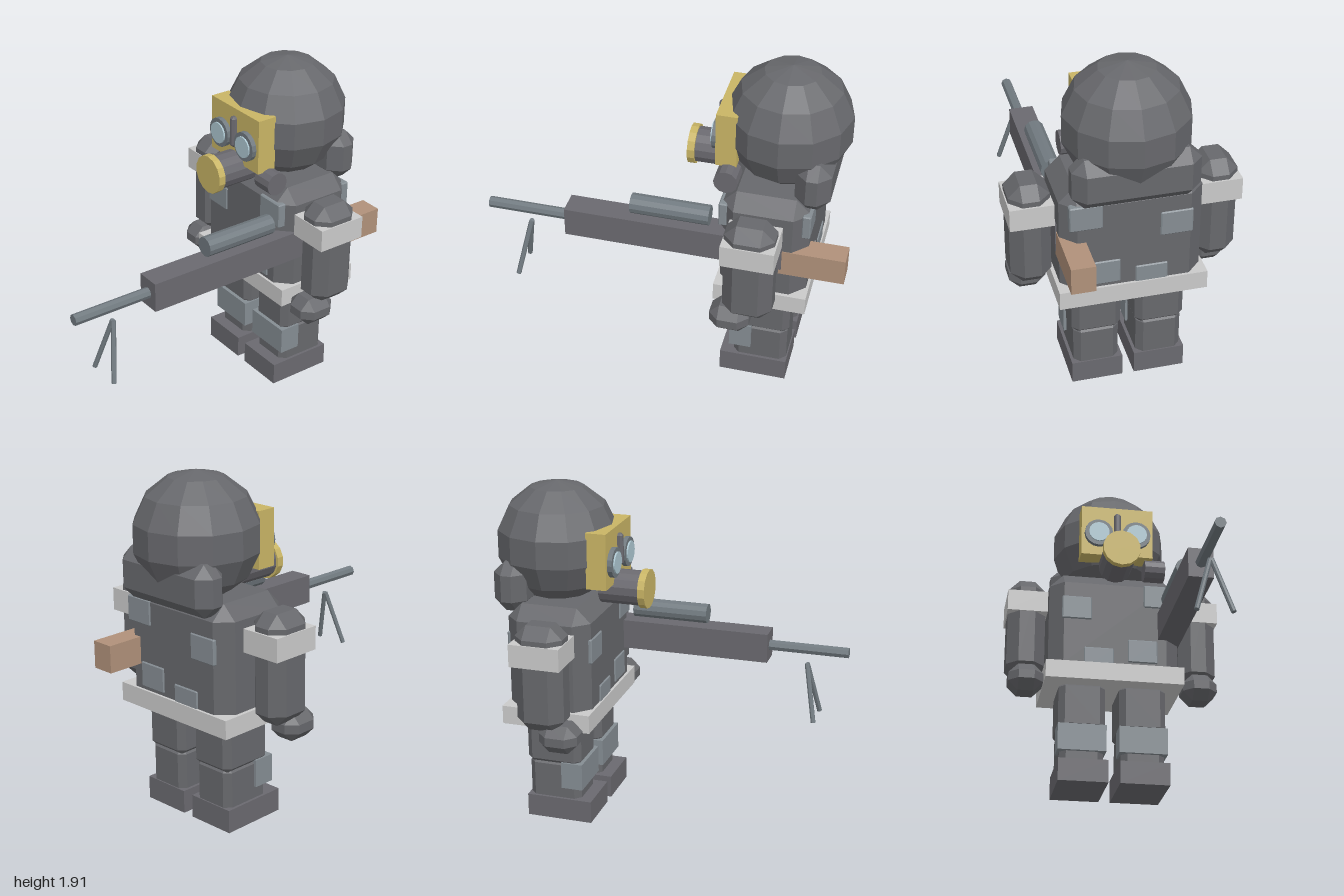
import * as THREE from 'three';
import { ConvexGeometry } from 'three/addons/geometries/ConvexGeometry.js';

const mat = (name, color, flatShading = true) => {
  const m = new THREE.MeshStandardMaterial({ color, flatShading });
  m.name = name;
  return m;
};

export function createModel() {
  const root = new THREE.Group();
  const suit = mat('charcoal suit', 0x67686c);
  const gun = mat('gun grey', 0x6a696f);
  const slate = mat('slate metal', 0x717a80);
  const patch = mat('patch grey', 0x858d93);
  const pale = mat('pale grey', 0xcacaca);
  const yellow = mat('mask yellow', 0xc9b565);
  const glass = mat('lens blue', 0xaec8d2);
  const wood = mat('stock brown', 0xb0917a);

  const add = (name, geo, material) => {
    const m = new THREE.Mesh(geo, material);
    m.name = name;
    root.add(m);
    return m;
  };

  // box given by its extents
  const box = (name, material, x0, x1, y0, y1, z0, z1) => {
    const m = add(name, new THREE.BoxGeometry(x1 - x0, y1 - y0, z1 - z0), material);
    m.position.set((x0 + x1) / 2, (y0 + y1) / 2, (z0 + z1) / 2);
    return m;
  };

  // box with all edges chamfered by c
  const chamferBox = (name, material, x0, x1, y0, y1, z0, z1, c) => {
    const half = [(x1 - x0) / 2, (y1 - y0) / 2, (z1 - z0) / 2];
    const points = [];
    for (const sx of [-1, 1]) for (const sy of [-1, 1]) for (const sz of [-1, 1])
      for (let axis = 0; axis < 3; axis++) {
        const h = half.map((v, i) => (i === axis ? v : v - c));
        points.push(new THREE.Vector3(sx * h[0], sy * h[1], sz * h[2]));
      }
    const m = add(name, new ConvexGeometry(points), material);
    m.position.set((x0 + x1) / 2, (y0 + y1) / 2, (z0 + z1) / 2);
    return m;
  };

  // straight rod between two points
  const rod = (name, material, a, b, r, sides) => {
    const p = new THREE.Vector3(...a), q = new THREE.Vector3(...b);
    const d = q.clone().sub(p);
    const m = add(name, new THREE.CylinderGeometry(r, r, d.length(), sides), material);
    m.position.copy(p).add(q).multiplyScalar(0.5);
    m.quaternion.setFromUnitVectors(new THREE.Vector3(0, 1, 0), d.normalize());
    return m;
  };

  // torso and belt
  chamferBox('torso', suit, -0.38, 0.38, 0.61, 1.28, -0.79, -0.31, 0.08);
  box('belt', pale, -0.4, 0.4, 0.595, 0.7, -0.805, -0.295);

  // cloth patches on chest and back
  const patches = [[-0.225, 1.04], [0.255, 1.14], [0.16, 0.787], [-0.095, 0.725]];
  for (const [x, y] of patches) {
    chamferBox('chestPatch', patch, x - 0.087, x + 0.087, y - 0.071, y + 0.071, -0.35, -0.303, 0.006);
    chamferBox('backPatch', patch, x - 0.087, x + 0.087, y - 0.071, y + 0.071, -0.797, -0.75, 0.006);
  }

  // arms and legs, mirrored
  for (const s of [-1, 1]) {
    const side = (x0, x1) => (s > 0 ? [x0, x1] : [-x1, -x0]);
    chamferBox('arm', suit, ...side(0.395, 0.615), 0.65, 1.25, -0.65, -0.38, 0.065);
    box('armband', pale, ...side(0.388, 0.622), 1.03, 1.157, -0.66, -0.375);
    chamferBox('hand', suit, ...side(0.405, 0.605), 0.53, 0.69, -0.53, -0.31, 0.055);
    chamferBox('thigh', suit, ...side(0.04, 0.31), 0.325, 0.62, -0.71, -0.39, 0.035);
    chamferBox('shin', suit, ...side(0.05, 0.3), 0.09, 0.365, -0.7, -0.395, 0.035);
    box('kneePad', patch, ...side(0.037, 0.315), 0.197, 0.353, -0.5, -0.375);
    box('boot', gun, ...side(0.033, 0.316), 0, 0.13, -0.707, -0.325);
  }

  // helmet and neck roll
  const helmet = add('helmet', new THREE.SphereGeometry(0.344, 12, 7), suit);
  helmet.position.set(0, 1.565, -0.603);
  chamferBox('neckRoll', suit, -0.335, 0.335, 1.22, 1.5, -0.88, -0.69, 0.065);

  // mask with snout and side filter
  box('maskPlate', yellow, -0.213, 0.213, 1.365, 1.68, -0.365, -0.25);
  rod('snout', gun, [0, 1.33, -0.34], [0, 1.33, -0.105], 0.098, 14);
  rod('snoutCap', yellow, [0, 1.33, -0.11], [0, 1.33, -0.07], 0.11, 14);
  rod('sideFilter', gun, [0.17, 1.315, -0.325], [0.29, 1.315, -0.325], 0.066, 12);
  chamferBox('noseBridge', gun, -0.02, 0.02, 1.455, 1.635, -0.265, -0.222, 0.012);

  // goggles
  for (const x of [-0.112, 0.112]) {
    rod('goggleRim', slate, [x, 1.5, -0.27], [x, 1.5, -0.223], 0.084, 16);
    rod('goggleLens', glass, [x, 1.5, -0.222], [x, 1.5, -0.213], 0.061, 16);
  }

  // gun
  box('gunBody', gun, 0.25, 0.388, 0.87, 1.038, -0.66, 0.545);
  box('gunStock', wood, 0.255, 0.384, 0.84, 0.992, -1, -0.645);
  rod('barrel', slate, [0.319, 0.955, 0.53], [0.319, 0.955, 1], 0.031, 8);
  rod('scope', slate, [0.317, 1.106, -0.255], [0.317, 1.106, 0.18], 0.056, 12);
  for (const s of [-1, 1])
    rod('bipodLeg', slate, [0.319 + s * 0.004, 0.865, 0.765], [0.319 + s * 0.095, 0.547, 0.83], 0.014, 8);

  return root;
}
